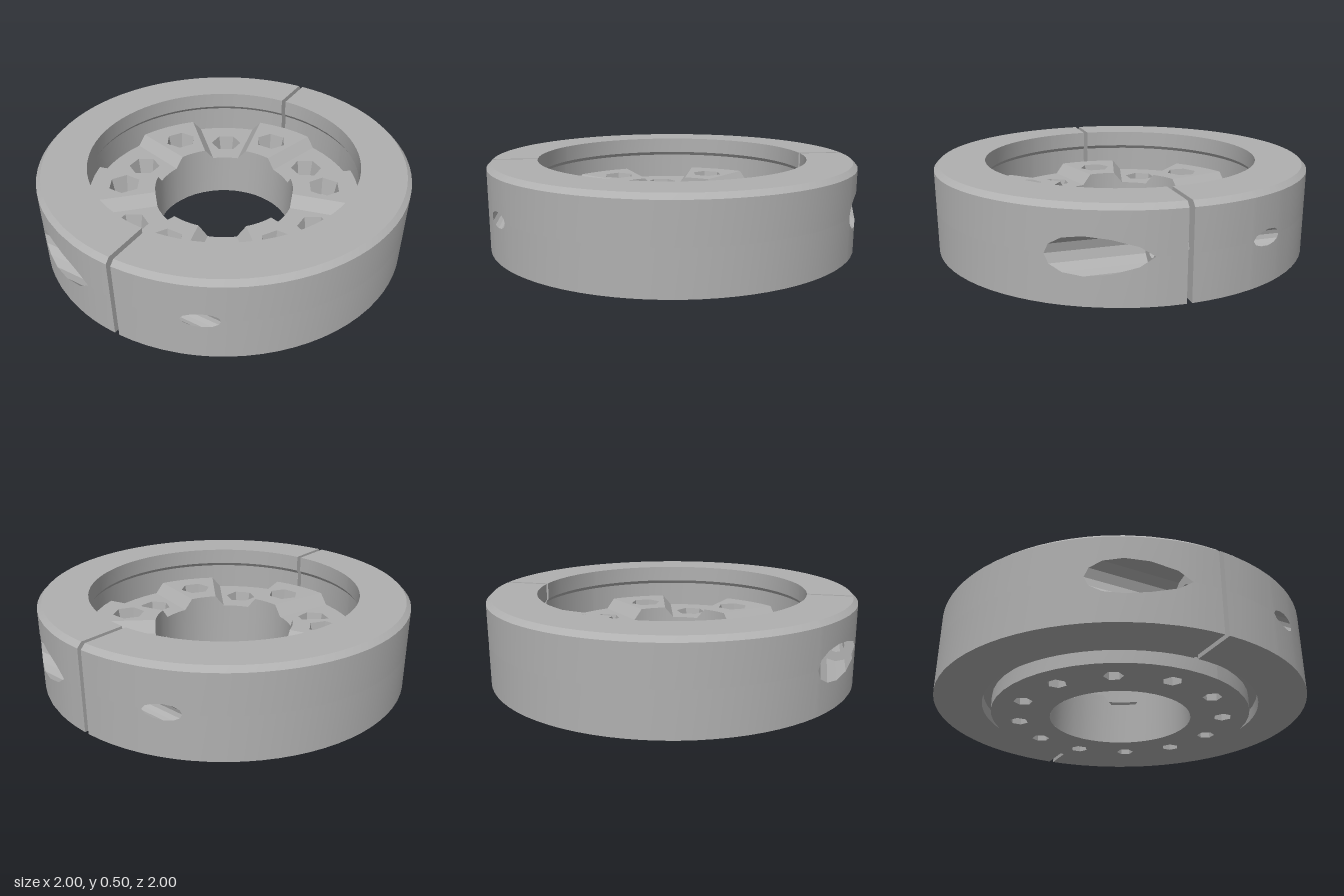
import * as THREE from 'three';

const steel = new THREE.MeshStandardMaterial({ color: 0xb0b0b0, side: THREE.DoubleSide });
steel.name = 'steel grey';

const GAP = 0.025, BOLT_Y = 0.27, BOLT_Z = 0.9, BOLT_R = 0.04, POCKET_R = 0.09, FLOOR_X = 0.13;
const BORE = 0.385, FLANGE = 0.748, HUB = 0.7, HOLE_AT = 0.56;
const PAD = [0.305, 0.245]; // raised and lowered pad heights
const SECTOR = Math.PI / 6;

const range = (n, f) => Array.from({ length: n + 1 }, (_, i) => f(i / n, i));
const polar = (r, a, y) => [r * Math.sin(a), y, r * Math.cos(a)];

function add(group, name, geometry) {
  const mesh = new THREE.Mesh(geometry, steel);
  mesh.name = name;
  group.add(mesh);
  return mesh;
}

// Surface through columns of points
function skin(cols, flat = false) {
  const rows = cols[0].length, index = [];
  for (let i = 0; i < cols.length - 1; i++) {
    for (let j = 0; j < rows - 1; j++) {
      const a = i * rows + j, b = a + rows;
      index.push(a, b, b + 1, a, b + 1, a + 1);
    }
  }
  let g = new THREE.BufferGeometry();
  g.setAttribute('position', new THREE.Float32BufferAttribute(cols.flat(2), 3));
  g.setIndex(index);
  if (flat) g = g.toNonIndexed();
  g.computeVertexNormals();
  return g;
}

const ngon = (cx, cy, r, n) => new THREE.Path(range(n - 1, (_, i) =>
  new THREE.Vector2(cx + r * Math.cos(i * 2 * Math.PI / n), cy + r * Math.sin(i * 2 * Math.PI / n))));

// Half of the split clamp ring, on the +x side
function clampHalf() {
  const half = new THREE.Group();
  const holes = [{ z: BOLT_Z, r: BOLT_R }, { z: -BOLT_Z, r: POCKET_R }];
  const start = r => Math.asin(GAP / r);
  const t0 = start(1);

  // Angles: an even spread, with finer steps matched to each hole rim
  let angles = range(40, u => t0 + u * (Math.PI - t0));
  for (const { z, r } of holes) {
    const rim = range(6, (_, k) => Math.acos(z + r * Math.cos(k * Math.PI / 6)));
    angles = angles.filter(a => a < rim[0] - 0.01 || a > rim[6] + 0.01).concat(rim);
  }
  angles.sort((a, b) => a - b);
  const opening = a => Math.max(...holes.map(({ z, r }) =>
    Math.sqrt(Math.max(0, r * r - (Math.cos(a) - z) ** 2))));

  // Outer wall above and below the bolt holes
  add(half, 'outerWallLower', skin(angles.map(a => [polar(1, a, 0.04), polar(1, a, BOLT_Y - opening(a))])));
  add(half, 'outerWallUpper', skin(angles.map(a => [polar(1, a, BOLT_Y + opening(a)), polar(1, a, 0.475)])));

  // Chamfer, top, lip, recess and underside
  const profile = [[1, 0.475], [0.975, 0.5], [0.735, 0.5], [0.735, 0.41], [0.75, 0.39], [0.75, 0.04], [1, 0.04]];
  const names = ['topChamfer', 'topFace', 'innerLip', 'lipSlope', 'innerWall', 'underside'];
  names.forEach((name, i) => {
    const ends = [profile[i], profile[i + 1]];
    add(half, name, skin(angles.map(a => ends.map(([r, y]) => {
      const s = (a - t0) / (Math.PI - t0);
      return polar(r, start(r) + s * (Math.PI - start(r)), y);
    }))));
  });

  // Split faces
  for (const [side, x] of [[1, GAP], [-1, 0]]) {
    const shape = new THREE.Shape(profile.map(([r, y]) => new THREE.Vector2(side * r, y)));
    shape.holes.push(ngon(side * BOLT_Z, BOLT_Y, BOLT_R, 12));
    add(half, 'splitFace', new THREE.ShapeGeometry(shape).rotateY(-Math.PI / 2).translate(x, 0, 0));
  }

  // Bolt holes and screw head pocket
  const around = f => skin(range(12, u => f(u * 2 * Math.PI)), true);
  const at = (x, z, r, t) => [x, BOLT_Y + r * Math.sin(t), z + r * Math.cos(t)];
  const rimX = (z, r, t) => Math.sqrt(Math.max(0, 1 - (z + r * Math.cos(t)) ** 2));
  const z = BOLT_Z;
  add(half, 'boltHole', around(t => [at(GAP, z, BOLT_R, t), at(rimX(z, BOLT_R, t), z, BOLT_R, t)]));
  add(half, 'screwPocket', around(t => [at(FLOOR_X, -z, POCKET_R, t), at(rimX(-z, POCKET_R, t), -z, POCKET_R, t)]));
  add(half, 'pocketFloor', around(t => [at(FLOOR_X, -z, BOLT_R, t), at(FLOOR_X, -z, POCKET_R, t)]));
  add(half, 'screwHole', around(t => [at(0, -z, BOLT_R, t), at(FLOOR_X, -z, BOLT_R, t)]));
  // Small collar standing in the gap
  add(half, 'gapCollar', around(t => [at(GAP, z, 0.052, t), at(0.008, z, 0.052, t), at(0.008, z, BOLT_R, t), at(GAP, z, BOLT_R, t)]));
  return half;
}

// Sector outline with a hexagonal hole; slot is half the width left at each side
function sectorShape(ri, ro, slot, holeR, flip) {
  const arc = (r, dir) => range(4, u => {
    const a = dir * (2 * u - 1) * (SECTOR / 2 - Math.asin(slot / r));
    return new THREE.Vector2(r * Math.sin(a), flip * r * Math.cos(a));
  });
  const shape = new THREE.Shape([...arc(ro, 1), ...arc(ri, -1)]);
  shape.holes.push(ngon(0, flip * HOLE_AT, holeR, 6));
  return new THREE.ShapeGeometry(shape);
}

// Inner coupling plate with alternating raised and lowered pads
function couplingPlate() {
  const plate = new THREE.Group();
  const SLOT = 0.025;
  for (let k = 0; k < 12; k++) {
    const sector = new THREE.Group();
    sector.name = 'sector';
    sector.rotation.y = k * SECTOR;
    const h = PAD[k % 2], next = PAD[(k + 1) % 2];
    add(sector, 'pad', sectorShape(BORE, FLANGE, SLOT, 0.09, -1).rotateX(-Math.PI / 2).translate(0, h, 0));
    add(sector, 'base', sectorShape(BORE, HUB, 0, 0.05, 1).rotateX(Math.PI / 2));
    // Sloped step to the next pad
    add(sector, 'step', skin([[-1, h], [1, next]].map(([s, y]) =>
      [FLANGE, BORE].map(r => polar(r, SECTOR / 2 + s * Math.asin(SLOT / r), y))), true));
    // Hexagonal stepped bolt hole
    const bore = [[0.09, h], [0.072, h - 0.1], [0.05, h - 0.15], [0.05, 0]];
    add(sector, 'padHole', skin(range(6, u => bore.map(([r, y]) => {
      const p = polar(r, u * 2 * Math.PI, y);
      return [p[2], y, HOLE_AT + p[0]];
    })).reverse(), true));
    plate.add(sector);
  }

  // Walls whose upper edge follows the pads
  const rim = r => {
    const reach = SECTOR / 2 - Math.asin(SLOT / r), list = [];
    for (let k = 0; k <= 12; k++) {
      for (const [a] of range(4, u => [(2 * u - 1) * reach])) list.push([k * SECTOR + a, PAD[k % 2]]);
    }
    return list;
  };
  add(plate, 'boreWall', skin(rim(BORE).map(([a, y]) => [polar(BORE, a, y), polar(BORE, a, 0)])));
  add(plate, 'flangeWall', skin(rim(FLANGE).map(([a, y]) => [polar(FLANGE, a, 0.1), polar(FLANGE, a, y)])));
  const ring = (p, q) => skin(range(48, u => [p, q].map(([r, y]) => polar(r, (u + 0.5 / 12) * 2 * Math.PI, y))));
  add(plate, 'hubWall', ring([HUB, 0], [HUB, 0.08]));
  add(plate, 'flangeUnderside', ring([HUB, 0.08], [FLANGE, 0.1]));
  return plate;
}

export function createModel() {
  const model = new THREE.Group();
  model.name = 'splitClampCoupling';
  for (const [name, turn] of [['leftClampHalf', 0], ['rightClampHalf', Math.PI]]) {
    const half = clampHalf();
    half.name = name;
    half.rotation.y = turn;
    model.add(half);
  }
  const plate = couplingPlate();
  plate.name = 'couplingPlate';
  model.add(plate);
  return model;
}
